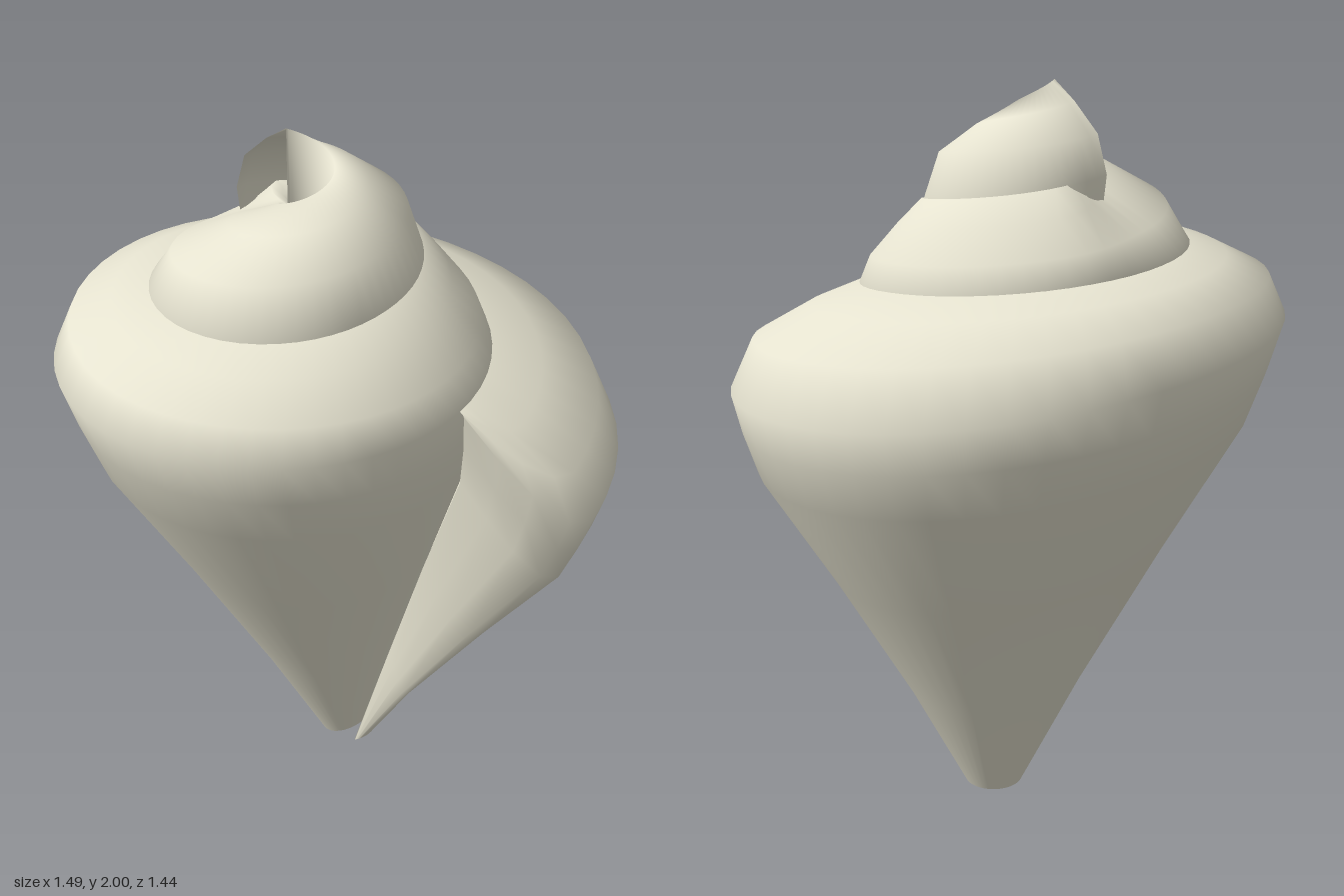
import * as THREE from 'three';

// Shell growth per quarter turn: shoulder radius, shoulder height, roundness of the top
const growth = new THREE.CatmullRomCurve3([
  [0.255, 1.78, 0.27], [0.292, 1.72, 0.32], [0.30, 1.65, 0.34], [0.385, 1.60, 0.31],
  [0.435, 1.57, 0.17], [0.44, 1.50, 0.13], [0.505, 1.42, 0.18], [0.64, 1.41, 0.29],
  [0.70, 1.38, 0.44], [0.80, 1.23, 0.36], [0.82, 1.13, 0.25],
].map((p) => new THREE.Vector3(...p)), false, 'catmullrom');
const shoulderAt = (q) => growth.getPoint(THREE.MathUtils.clamp(q / 10, 0, 1));
const { smoothstep, lerp } = THREE.MathUtils;

const BASE = [-0.03, -0.045]; // spiral axis (x, z) at the base
const SHOULDER = 5;           // index of the shoulder in a cross-section

// Seam where a whorl starts: the apex hole first, then the whorl before it
function sutureAt(q) {
  const hole = new THREE.Vector3(0.06 + 0.006 * q, 2 - 0.053 * q, 0);
  return hole.lerp(shoulderAt(Math.max(q - 4, 0)), smoothstep(q, 3.9, 4.3));
}

// Cross-section of the shell wall at q quarter turns, from seam to base
function section(q) {
  const a = q * Math.PI / 2, dx = -Math.cos(a), dz = -Math.sin(a);
  const s = shoulderAt(q), i = sutureAt(q);
  const axisZ = 0.08 + 0.02 * Math.max(0, 1 - q / 3);
  const at = ([r, y]) => new THREE.Vector3(-0.04 + dx * r, y, axisZ + dz * r);
  const upper = (u, rise) => [lerp(i.x, s.x, u), lerp(s.y, i.y, 1 - u + rise * s.z)];

  // inner wall and floor of the apex hole; later whorls tuck under the seam
  const tuck = smoothstep(q, 3.9, 4.3);
  const points = [
    [lerp(0, i.x - 0.08, tuck), lerp(1.76, i.y, tuck)],
    [lerp(0.06, i.x - 0.04, tuck), lerp(1.78, i.y, tuck)],
    [i.x, i.y],
    upper(0.38, 0.6), upper(0.82, 1), [s.x, s.y],
  ].map(at);

  // base rim, notched behind the lip
  const rb = 0.05 + 0.035 * s.x / 0.8;
  const ab = a + 0.6 * smoothstep(q, 9, 10);
  const base = new THREE.Vector3(
    BASE[0] - Math.cos(ab) * rb, 0.06 * (1 - smoothstep(q, 5.8, 7.5)), BASE[1] - Math.sin(ab) * rb);
  // tapering side with a slight bulge under the shoulder
  for (const [t, bulge] of [[0.09, 0.026], [0.19, 0.046], [0.45, 0.019], [0.75, 0], [1, 0]]) {
    const p = at([s.x, s.y]).lerp(base, t);
    p.x += dx * bulge * s.x / 0.7;
    p.z += dz * bulge * s.x / 0.7;
    points.push(p);
  }
  return points;
}

// Lip section: the wall curls in towards the previous whorl, leaving a narrow slit
function lipSection(q, curl) {
  const body = section(q - 4), wall = section(q);
  return wall.map((p, j) => {
    if (j < 3 || j === wall.length - 1) return p;
    if (j <= SHOULDER) return p.lerp(body[SHOULDER], curl);
    const back = curl * Math.min(0.03 * (j - SHOULDER), 0.06);
    return section(q - back)[j].lerp(section(q - 4 - back)[j], curl);
  });
}

// Surface through a row of cross-sections
function loft(rows) {
  const cols = rows[0].length, index = [];
  for (let i = 0; i < rows.length - 1; i++) {
    for (let j = 0; j < cols - 1; j++) {
      const a = i * cols + j, b = a + cols;
      index.push(a, b, a + 1, b, b + 1, a + 1);
    }
  }
  const geometry = new THREE.BufferGeometry().setFromPoints(rows.flat());
  geometry.setIndex(index);
  geometry.computeVertexNormals();
  return geometry;
}

export function createModel() {
  const group = new THREE.Group();
  group.name = 'spiralShell';
  const material = new THREE.MeshStandardMaterial({ color: 0xe6e3d0, side: THREE.DoubleSide });

  // Whorls: two and a half turns from apex to lip
  const rows = [];
  const steps = 120;
  for (let k = 0; k <= steps; k++) rows.push(section(9.83 * k / steps));
  // Rolled outer lip
  for (const [q, curl] of [[9.88, 0.1], [9.92, 0.36], [9.945, 0.65], [9.965, 0.96]]) {
    rows.push(lipSection(q, curl));
  }
  const whorls = new THREE.Mesh(loft(rows), material);
  whorls.name = 'whorls';
  group.add(whorls);
  return group;
}
